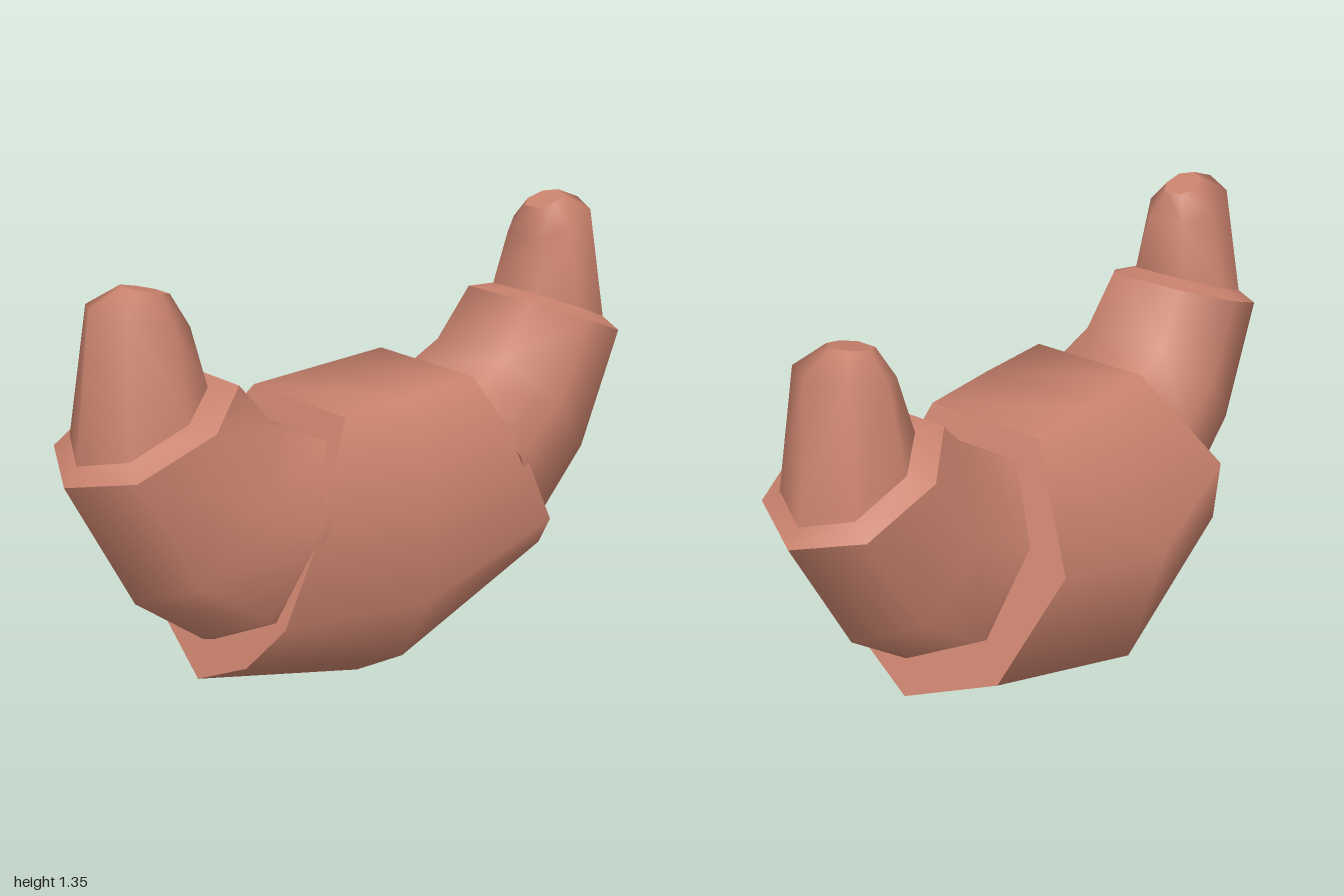
import * as THREE from 'three';

const clay = new THREE.MeshStandardMaterial({ color: 0xc9826d });
clay.name = 'clay';

// Skin a run of closed rings; side = -1 mirrors across x. Caps keep their own vertices for a hard edge.
function loft(name, rings, side, capStart, capEnd) {
  const n = rings[0].length, pos = [], idx = [];
  const tri = (a, b, c) => (side > 0 ? idx.push(a, b, c) : idx.push(a, c, b));
  const put = (p) => pos.push(p[0] * side, p[1], p[2]);
  rings.forEach((r) => r.forEach(put));
  for (let k = 0; k < rings.length - 1; k++) {
    for (let i = 0; i < n; i++) {
      const a = k * n + i, a2 = k * n + ((i + 1) % n);
      tri(a, a + n, a2);
      tri(a2, a + n, a2 + n);
    }
  }
  const cap = (ring, end) => {
    const base = pos.length / 3;
    ring.forEach(put);
    put([0, 1, 2].map((j) => ring.reduce((s, p) => s + p[j], 0) / n));
    for (let i = 0; i < n; i++) {
      const j = (i + 1) % n;
      if (end) tri(base + n, base + j, base + i);
      else tri(base + n, base + i, base + j);
    }
  };
  if (capStart) cap(rings[0], false);
  if (capEnd) cap(rings[rings.length - 1], true);
  const geo = new THREE.BufferGeometry();
  geo.setAttribute('position', new THREE.Float32BufferAttribute(pos, 3));
  geo.setIndex(idx);
  geo.computeVertexNormals();
  const mesh = new THREE.Mesh(geo, clay);
  mesh.name = name;
  return mesh;
}

// Seven-sided arm section: from the outer edge point across to the flat inner edge
const section = [[0, 0], [0.2, 0.8], [0.66, 1], [1, 0.55], [1, -0.55], [0.66, -1], [0.2, -0.8]];
const armRing = (ox, oy, ix, iy, half, cz = 0.088) =>
  section.map(([t, w]) => [ox + (ix - ox) * t, oy + (iy - oy) * t, cz + w * half]);

export function createModel() {
  const group = new THREE.Group();
  group.name = 'curvedTorso';

  // Belly: slanted end sections around a lower middle section
  const end = [
    [0.62, 0.22, 0.09], [0.585, 0.305, 0.255], [0.525, 0.43, 0.345], [0.395, 0.68, 0.345],
    [0.245, 0.925, 0.27], [0.245, 0.925, -0.1], [0.39, 0.635, -0.295], [0.55, 0.335, -0.185],
  ];
  const middle = [
    [0, 0, 0.06], [0, 0.125, 0.25], [0, 0.335, 0.355], [0, 0.62, 0.355],
    [0, 0.925, 0.275], [0, 0.925, -0.1], [0, 0.545, -0.357], [0, 0.14, -0.24],
  ];
  const start = end.map(([x, y, z]) => [-x, y, z]);
  group.add(loft('belly', [start, middle, end], 1, true, true));

  for (const side of [1, -1]) {
    const label = side > 0 ? 'left' : 'right';
    // Upper arm bending up out of the belly
    const cuff = armRing(0.997, 0.885, 0.548, 1.07, 0.22);
    group.add(loft(label + 'Arm', [
      armRing(0.56, 0.32, 0.27, 0.855, 0.26, 0.094),
      armRing(0.6, 0.335, 0.305, 0.87, 0.26, 0.094),
      armRing(0.81, 0.51, 0.43, 0.925, 0.243),
      cuff,
    ], side, true, false));
    // Bevelled rim at the arm's end
    const socket = armRing(0.958, 0.93, 0.62, 1.073, 0.158);
    group.add(loft(label + 'Rim', [cuff, socket], side, false, false));
    // Blunt tip
    group.add(loft(label + 'Tip', [
      socket,
      armRing(0.895, 1.31, 0.648, 1.23, 0.112),
      armRing(0.8, 1.346, 0.68, 1.312, 0.05),
    ], side, false, true));
  }
  return group;
}
